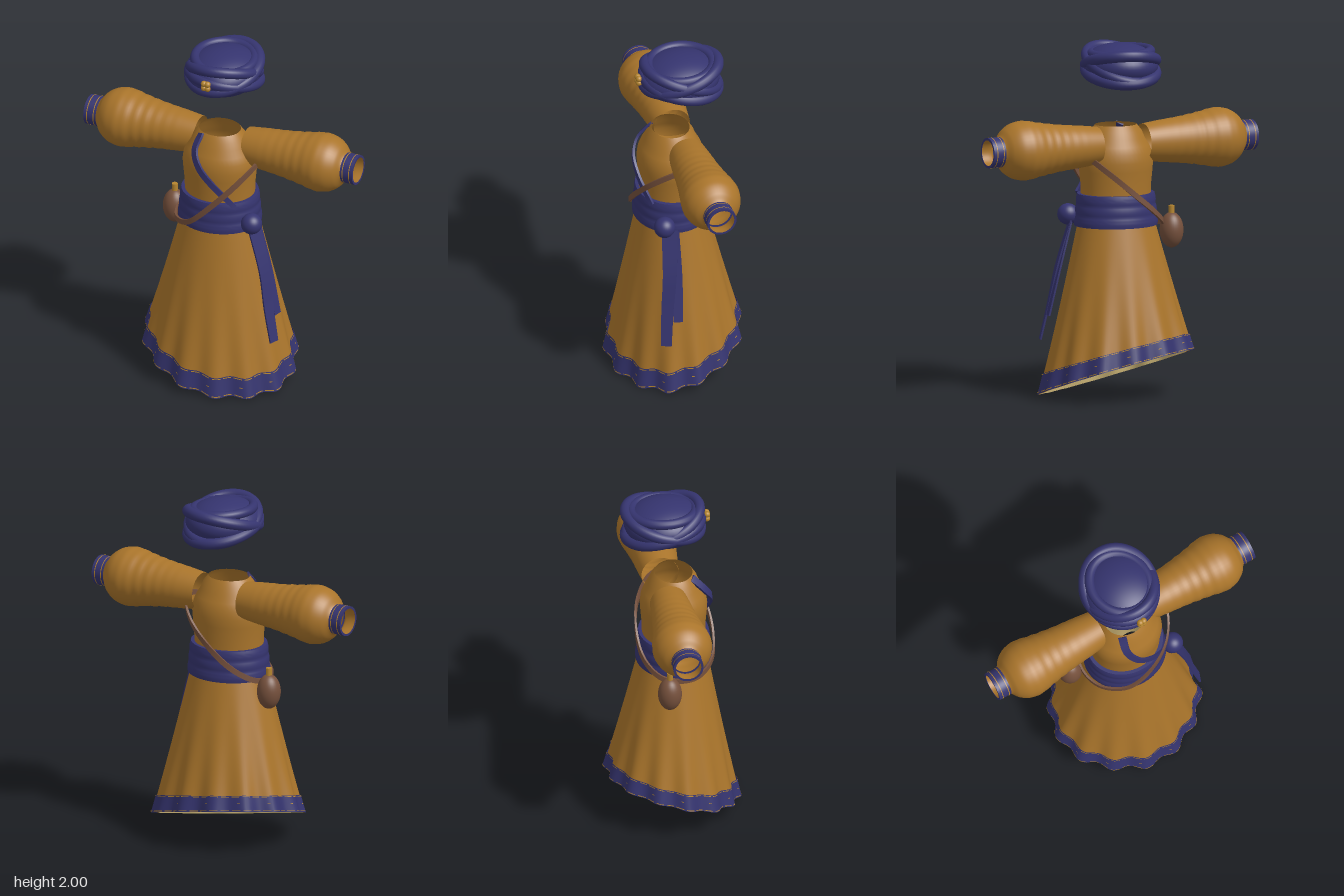
import * as THREE from 'three';
import { toCreasedNormals } from 'three/addons/utils/BufferGeometryUtils.js';

const mat = (name, color, side = THREE.FrontSide) => {
  const m = new THREE.MeshStandardMaterial({ color, side });
  m.name = name;
  return m;
};
const V = (x, y, z) => new THREE.Vector3(x, y, z);

export function createModel() {
  const cloth = mat('ochre cloth', 0xaa752b, THREE.DoubleSide);
  const blue = mat('indigo cloth', 0x35346f, THREE.DoubleSide);
  const lining = mat('pale lining', 0xd2ba7a);
  const leather = mat('brown leather', 0x75503c);
  const gold = mat('gold trim', 0xb5852f, THREE.DoubleSide);

  const model = new THREE.Group();
  const add = (name, geo, material, parent = model) => {
    const m = new THREE.Mesh(geo, material);
    m.name = name;
    parent.add(m);
    return m;
  };
  const lathe = (pts, seg = 48) =>
    new THREE.LatheGeometry(pts.map(p => new THREE.Vector2(p[0], p[1])), seg);

  // Skirt surface: waist ellipse flaring to a rippled hem on a tilted plane
  const skirtPoint = (a, t, off) => {
    const fold = 0.015 * Math.cos(14 * a + 0.9) + 0.005 * Math.sin(5 * a);
    const c = Math.cos(a), s = Math.sin(a);
    const hx = (0.43 + fold) * c, hz = (0.365 + fold) * s;
    const hemY = 0.14 - 0.19 * hx - 0.29 * hz;
    const k = Math.pow(t, 1.5);
    const x = 0.21 * c * (1 - t) + (0.43 * c * (1 - k) + hx * k) * t + off * c;
    const z = (0.185 * s + 0.01) * (1 - t) + (0.365 * s * (1 - k) + hz * k) * t + off * s;
    return [x, 1.03 + (hemY - 1.03) * t, z];
  };
  const skirtStrip = (t0, t1, rows, off, flip = false, keep = () => true) => {
    const n = 168, pos = [], idx = [];
    for (let j = 0; j <= rows; j++)
      for (let i = 0; i < n; i++)
        pos.push(...skirtPoint(i / n * Math.PI * 2, t0 + (t1 - t0) * j / rows, off));
    for (let j = 0; j < rows; j++)
      for (let i = 0; i < n; i++) {
        if (!keep(i)) continue;
        const a = j * n + i, b = j * n + (i + 1) % n, c = a + n, d = b + n;
        if (flip) idx.push(a, c, b, b, c, d);
        else idx.push(a, b, c, b, d, c);
      }
    const g = new THREE.BufferGeometry();
    g.setAttribute('position', new THREE.Float32BufferAttribute(pos, 3));
    g.setIndex(idx);
    g.computeVertexNormals();
    return g;
  };
  add('skirt', skirtStrip(0, 1, 20, 0), cloth);
  add('skirtLining', skirtStrip(0, 1, 20, -0.006, true), lining);
  add('hemBand', skirtStrip(0.885, 1, 4, 0.007), blue);
  add('hemTopTrim', skirtStrip(0.889, 0.894, 1, 0.010, false, i => i % 4 < 3), gold);
  add('hemBottomTrim', skirtStrip(0.988, 0.993, 1, 0.010, false, i => i % 4 < 3), gold);
  add('hemStuds', skirtStrip(0.938, 0.943, 1, 0.010, false, i => i % 12 === 0), gold);

  // Bodice with open neck
  const bodice = add('bodice', lathe([[0.2, 1.0], [0.2, 1.1], [0.202, 1.2], [0.21, 1.28], [0.214, 1.33],
    [0.207, 1.38], [0.19, 1.42], [0.165, 1.46], [0.148, 1.5], [0.12, 1.535]]), cloth);
  bodice.scale.z = 0.88;
  bodice.position.z = 0.012;

  // Waist sash with three soft overlapping folds, wider at its lower edge
  const sashPts = [[0.2, 0.97]];
  for (let b = 0; b < 3; b++)
    for (let k = 0; k <= 6; k++) {
      const y = 0.97 + 0.06 * b + 0.06 * k / 6;
      sashPts.push([0.239 - 0.1 * (y - 0.97) + 0.004 * Math.sin(k / 6 * Math.PI), y]);
    }
  sashPts.push([0.2, 1.15]);
  const sash = add('sash', toCreasedNormals(lathe(sashPts), 0.6), blue);
  sash.scale.z = 0.89;
  sash.position.z = 0.012;

  // Puffed sleeves with wrinkles, and trimmed cuffs
  const sleeveCurve = new THREE.SplineCurve([[0.105, 0.145], [0.118, 0.25], [0.131, 0.38], [0.149, 0.5],
    [0.167, 0.6], [0.156, 0.67], [0.125, 0.72], [0.086, 0.752], [0.076, 0.78], [0.074, 0.827]]
    .map(p => new THREE.Vector2(...p)));
  const sleevePts = sleeveCurve.getPoints(80).map(p => {
    const w = Math.max(0, 1 - Math.abs(p.y - 0.46) / 0.24);
    return [p.x + 0.002 * w * Math.sin(p.y * 105), p.y];
  });
  for (const side of [1, -1]) {
    const arm = new THREE.Group();
    arm.name = side > 0 ? 'leftSleeve' : 'rightSleeve';
    arm.position.set(0, 1.43, -0.04);
    arm.rotation.z = -side * Math.PI / 2;
    model.add(arm);
    add('sleeve', lathe(sleevePts), cloth, arm);
    add('cuff', toCreasedNormals(lathe([[0.076, 0.748], [0.085, 0.748], [0.085, 0.829], [0.072, 0.829]]), 0.6), blue, arm);
    for (const y of [0.766, 0.806])
      add('cuffTrim', lathe([[0.087, y], [0.087, y + 0.005]]), gold, arm);
  }

  // Flat band swept along a path, facing away from the body's axis
  const band = (points, width, thick, closed = false, taper = 1) => {
    const curve = new THREE.CatmullRomCurve3(points, closed), n = closed ? 80 : 32;
    const pos = [], idx = [];
    for (let i = 0; i <= n; i++) {
      const p = curve.getPointAt(i / n), t = curve.getTangentAt(i / n);
      const out = V(p.x, 0, p.z).normalize();
      out.addScaledVector(t, -out.dot(t)).normalize();
      const w = t.clone().cross(out), h = width / 2 * (1 + (taper - 1) * i / n);
      for (const [a, b] of [[1, 1], [-1, 1], [-1, -1], [1, -1]])
        pos.push(...p.clone().addScaledVector(w, a * h).addScaledVector(out, b * thick / 2).toArray());
      if (i < n)
        for (let k = 0; k < 4; k++) {
          const a = i * 4 + k, b = i * 4 + (k + 1) % 4;
          idx.push(a, a + 4, b, b, a + 4, b + 4);
        }
    }
    if (!closed) {
      const e = n * 4;
      idx.push(0, 1, 2, 0, 2, 3, e, e + 2, e + 1, e, e + 3, e + 2);
    }
    const g = new THREE.BufferGeometry();
    g.setAttribute('position', new THREE.Float32BufferAttribute(pos, 3));
    g.setIndex(idx);
    return toCreasedNormals(g, 0.7);
  };
  add('chestTrim', band([V(-0.072, 1.525, 0.105), V(-0.08, 1.45, 0.175), V(-0.035, 1.37, 0.218),
    V(0.05, 1.27, 0.215), V(0.165, 1.14, 0.17)], 0.046, 0.014, false, 0.6), blue);
  add('shoulderStrap', band([V(-0.26, 0.97, 0.0), V(-0.22, 0.965, 0.12), V(-0.1, 1.01, 0.218), V(0.06, 1.16, 0.23),
    V(0.18, 1.29, 0.17), V(0.25, 1.38, 0.05), V(0.235, 1.38, -0.07), V(0.14, 1.29, -0.165),
    V(0, 1.17, -0.2), V(-0.14, 1.06, -0.18), V(-0.235, 0.99, -0.1)], 0.03, 0.012, true), leather);

  // Sash knot and two broad overlapping tails
  add('sashKnot', new THREE.SphereGeometry(0.06, 32, 20), blue).position.set(0.245, 1.03, 0.12);
  add('frontTail', band([V(0.245, 1.0, 0.09), V(0.32, 0.74, 0.112), V(0.358, 0.53, 0.137), V(0.4, 0.33, 0.155)],
    0.09, 0.01, false, 0.65), blue);
  add('rearTail', band([V(0.25, 0.99, 0.08), V(0.325, 0.73, 0.075), V(0.387, 0.47, 0.082)],
    0.085, 0.01, false, 0.6), blue);

  // Gourd flask with stopper
  const gourd = new THREE.Group();
  gourd.name = 'gourd';
  gourd.position.set(-0.313, 0.928, -0.06);
  model.add(gourd);
  add('gourdBody', new THREE.SphereGeometry(1, 32, 20), leather, gourd).scale.set(0.067, 0.1, 0.067);
  add('stopper', new THREE.CylinderGeometry(0.017, 0.017, 0.06, 20), gold, gourd).position.y = 0.108;

  // Turban: rounded core wrapped by tilted coils
  const turban = new THREE.Group();
  turban.name = 'turban';
  turban.position.set(0, 1.875, -0.04);
  model.add(turban);
  add('turbanCore', new THREE.SphereGeometry(1, 48, 28), blue, turban).scale.set(0.21, 0.125, 0.228);
  const coils = [ // front height, back height, roll, x radius, z radius, tube
    [0.088, -0.075, 0.015, 0.188, 0.206, 0.030],
    [0.015, -0.08, -0.015, 0.192, 0.21, 0.032],
    [-0.04, 0.075, 0.015, 0.192, 0.21, 0.032],
    [0.07, 0.075, -0.01, 0.162, 0.18, 0.028],
  ];
  for (const [front, back, roll, rx, rz, tube] of coils) {
    const pts = [];
    for (let i = 0; i < 32; i++) {
      const a = i / 32 * Math.PI * 2, c = Math.cos(a), s = Math.sin(a);
      pts.push(V(rx * c, (front + back) / 2 + (front - back) / 2 * s + roll * c, rz * s - 0.008));
    }
    add('turbanCoil', new THREE.TubeGeometry(new THREE.CatmullRomCurve3(pts, true), 72, tube, 14, true), blue, turban);
  }

  // Four-petal brooch
  const brooch = new THREE.Group();
  brooch.name = 'brooch';
  brooch.position.set(0, 1.89, 0.2);
  model.add(brooch);
  for (const x of [-1, 1])
    for (const y of [-1, 1])
      add('broochPetal', new THREE.SphereGeometry(0.018, 16, 12), gold, brooch).position.set(x * 0.011, y * 0.013, 0);

  return model;
}
